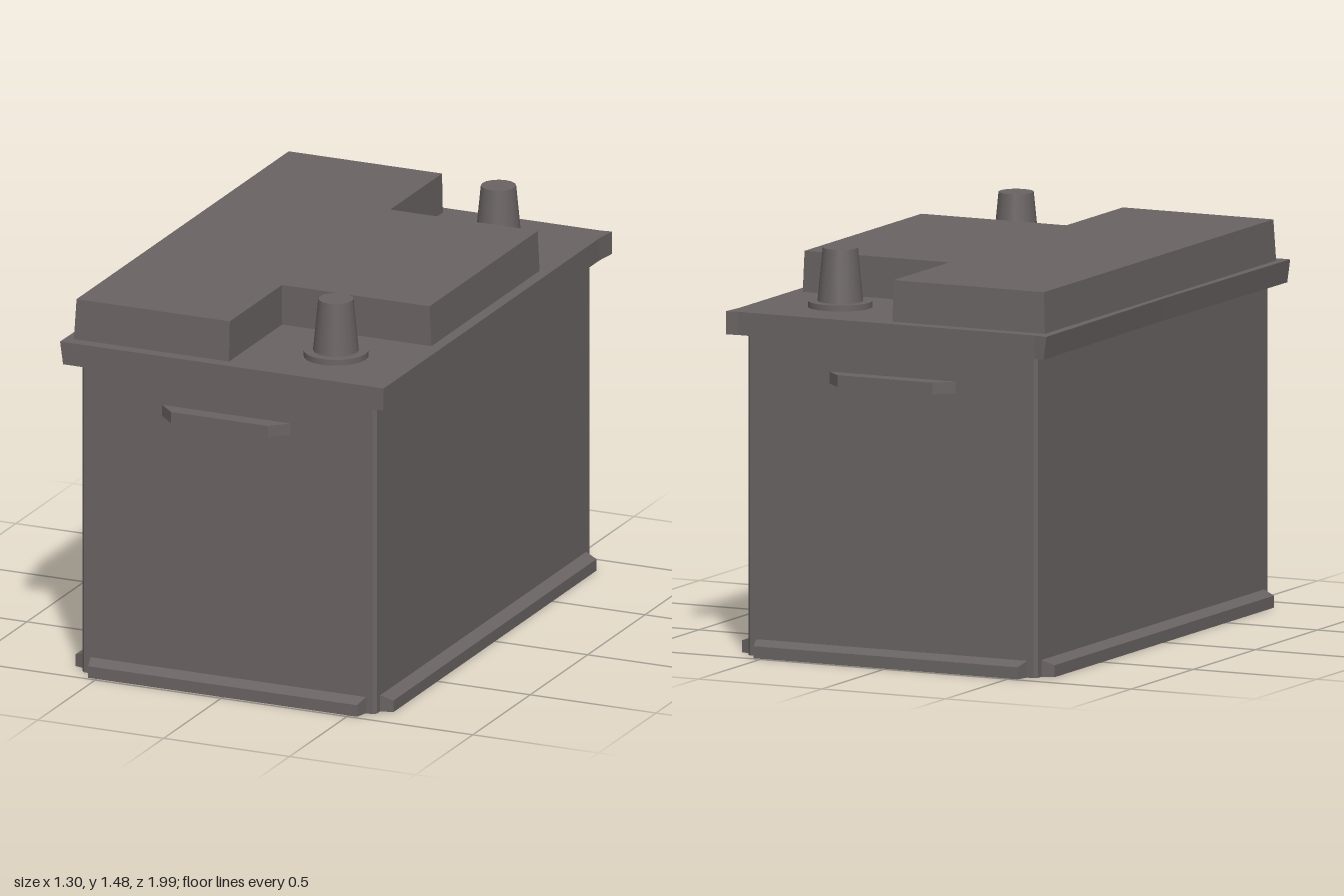
import * as THREE from 'three';

const casing = new THREE.MeshStandardMaterial({ color: 0x6a6363 });
casing.name = 'casing grey';

// Prism from a plan outline of [x, z] points, standing between two heights
function prism(outline, y0, y1) {
  const shape = new THREE.Shape(outline.map(([x, z]) => new THREE.Vector2(x, -z)));
  const geo = new THREE.ExtrudeGeometry(shape, { depth: y1 - y0, bevelEnabled: false });
  return geo.rotateX(-Math.PI / 2).translate(0, y0, 0);
}

// Move every vertex by a rule, then refresh the normals
function reshape(geo, rule) {
  const p = geo.attributes.position;
  const v = new THREE.Vector3();
  for (let i = 0; i < p.count; i++) {
    rule(v.fromBufferAttribute(p, i));
    p.setXYZ(i, v.x, v.y, v.z);
  }
  geo.computeVertexNormals();
  return geo;
}

export function createModel() {
  const model = new THREE.Group();
  model.name = 'battery';
  const add = (name, geo, parent = model) => {
    const mesh = new THREE.Mesh(geo, casing);
    mesh.name = name;
    parent.add(mesh);
    return mesh;
  };

  // Case with narrowly cut corners
  const w = 0.585, d = 0.937, c = 0.012;
  add('case', prism([
    [-w + c, d], [w - c, d], [w, d - c], [w, -d + c],
    [w - c, -d], [-w + c, -d], [-w, -d + c], [-w, d - c],
  ], 0, 1.2));

  // Overhanging lid, flared at the corners and undercut along its left edge
  const lid = prism([
    [-0.65, 0.978], [0.636, 0.978], [0.636, -0.9], [0.646, -0.988],
    [0.6, -0.982], [-0.6, -0.982], [-0.652, -0.99], [-0.64, 0],
  ], 1.178, 1.263);
  add('lid', reshape(lid, (v) => {
    if (v.y < 1.2 && v.x < -0.62) v.x += 0.012;
  }));

  // Raised cover leaving a recess around each terminal, drawn in at the top
  const cover = prism([
    [-0.617, 0.932], [0, 0.932], [0, 0.469], [0.594, 0.469],
    [0.594, -0.473], [0, -0.473], [0, -0.932], [-0.617, -0.932],
  ], 1.25, 1.414);
  add('raisedCover', reshape(cover, (v) => {
    if (v.y > 1.3) {
      if (Math.abs(v.x) > 0.1) v.x -= 0.008 * Math.sign(v.x);
      if (Math.abs(v.z) > 0.8) v.z -= 0.008 * Math.sign(v.z);
    }
  }));

  // Terminals: tapered post on a round flange
  for (const side of [1, -1]) {
    const terminal = new THREE.Group();
    terminal.name = side > 0 ? 'frontTerminal' : 'backTerminal';
    terminal.position.set(0.323, 1.255, side * 0.708);
    add('flange', new THREE.CylinderGeometry(0.118, 0.118, 0.03, 20).translate(0, 0.015, 0), terminal);
    add('post', new THREE.CylinderGeometry(0.064, 0.084, 0.205, 16).translate(0, 0.1225, 0), terminal);
    model.add(terminal);
  }

  // Lifting ledges with slanted ends
  for (const side of [1, -1]) {
    const ledge = prism([[-0.27, 0.93], [0.255, 0.93], [0.185, 0.997], [-0.2, 0.997]], 1.02, 1.063);
    const mesh = add(side > 0 ? 'frontLedge' : 'backLedge', ledge);
    if (side < 0) {
      ledge.rotateY(Math.PI);
      mesh.position.x = -0.01;
    }
  }

  // Hold-down rails around the foot, sloped on top and narrowed outward
  const rail = (length, depth) => {
    const h = length / 2;
    const geo = prism([[-h, -0.01], [h, -0.01], [h - 0.016, depth], [-h + 0.016, depth]], 0, 0.065);
    return reshape(geo, (v) => {
      if (v.y > 0.03 && v.z > 0.01) v.y = 0.044;
    });
  };
  const rails = [
    ['frontRail', 1.1, 0.05, 0, d, 0], ['backRail', 1.1, 0.05, 0, -d, Math.PI],
    ['leftRail', 1.8, 0.047, w, 0, Math.PI / 2], ['rightRail', 1.8, 0.047, -w, 0, -Math.PI / 2],
  ];
  for (const [name, length, depth, x, z, turn] of rails) {
    const mesh = add(name, rail(length, depth));
    mesh.position.set(x, 0, z);
    mesh.rotation.y = turn;
  }

  return model;
}
